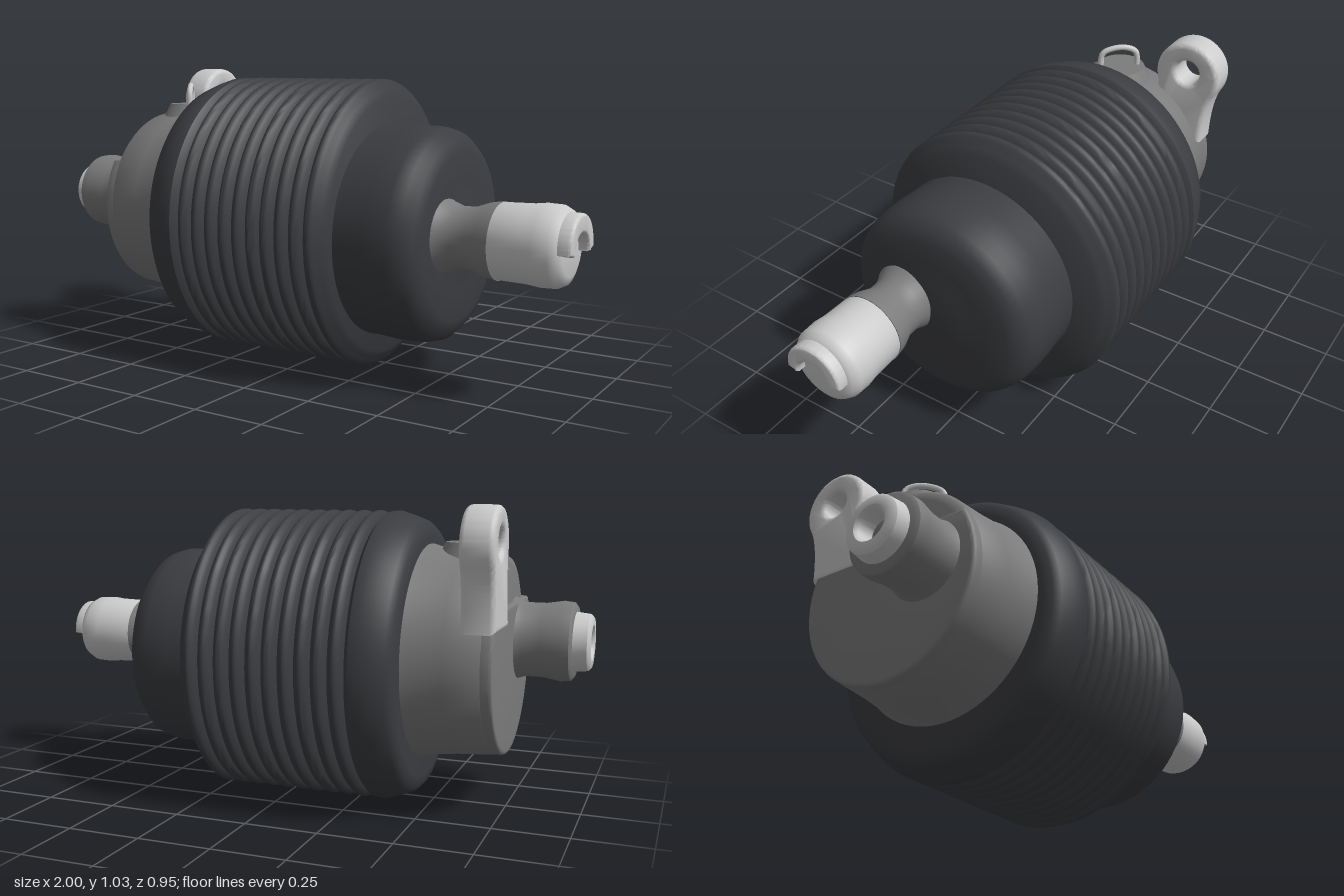
import * as THREE from 'three';
import { toCreasedNormals } from 'three/addons/utils/BufferGeometryUtils.js';

const mat = (color) => new THREE.MeshStandardMaterial({ color });
const light = mat(0xcccccc), mid = mat(0x7c7c7c), dark = mat(0x3c3d41);

export function createModel() {
  const model = new THREE.Group();
  const add = (name, geometry, material) => {
    const mesh = new THREE.Mesh(geometry, material);
    mesh.name = name;
    model.add(mesh);
    return mesh;
  };

  // Turned part along x: profile of [x, radius], centre y/z, optional oval scale
  const turned = (name, profile, y, z, material, sy = 1, sz = 1, segments = 64) => {
    const pts = profile.map(([x, r]) => new THREE.Vector2(r, x));
    const g = new THREE.LatheGeometry(pts, segments);
    g.rotateZ(-Math.PI / 2).scale(1, sy, sz).translate(0, y, z);
    return add(name, toCreasedNormals(g, 0.75), material);
  };

  // Plate lying across x: shape drawn as (z, y), from x0 towards -x
  const across = (name, shape, x0, depth, bevel, material) => {
    const g = new THREE.ExtrudeGeometry(shape, {
      depth: depth - 2 * bevel, bevelEnabled: bevel > 0, bevelSize: bevel,
      bevelThickness: bevel, bevelOffset: -bevel, bevelSegments: 3, curveSegments: 28,
    });
    g.rotateY(-Math.PI / 2).translate(x0 - bevel, 0, 0);
    return add(name, toCreasedNormals(g, 0.6), material);
  };

  // Main barrel: rounded collar followed by a run of ribs
  const barrel = [[-0.47, 0], [-0.47, 0.40], [-0.465, 0.435], [-0.445, 0.455],
    [-0.40, 0.472], [-0.36, 0.484], [-0.335, 0.482], [-0.32, 0.465]];
  const ribs = 10, start = -0.315, pitch = 0.0565;
  for (let i = 0; i < ribs; i++) {
    for (let k = 0; k < 8; k++) {
      const t = k / 8;
      barrel.push([start + (i + t) * pitch, 0.45 + 0.035 * Math.sin(Math.PI * t) ** 0.8]);
    }
  }
  barrel.push([0.255, 0.45], [0.27, 0.43], [0.27, 0]);
  turned('ribbedBarrel', barrel, 0.507, -0.002, dark, 1.03, 0.975, 80);

  // Offset end housing with a rounded shoulder
  turned('endHousing', [[0.2, 0], [0.2, 0.36], [0.3, 0.358], [0.38, 0.364], [0.46, 0.362],
    [0.505, 0.35], [0.535, 0.32], [0.55, 0.28], [0.552, 0.2], [0.56, 0.13], [0.57, 0]],
  0.492, 0.033, dark);

  // Output shaft: flared neck, collar and crescent lip on the tip
  turned('outputNeck', [[0.52, 0], [0.52, 0.15], [0.56, 0.115], [0.6, 0.1],
    [0.65, 0.1], [0.70, 0.118], [0.74, 0.125], [0.74, 0]], 0.512, 0.145, mid, 1, 1, 40);
  turned('outputShaft', [[0.70, 0], [0.70, 0.108], [0.73, 0.122], [0.84, 0.125], [0.88, 0.13],
    [0.93, 0.128], [0.955, 0.115], [0.965, 0.09], [0.965, 0]], 0.512, 0.145, light, 1, 1, 40);
  const lip = new THREE.Shape();
  lip.absarc(0.15, 0.515, 0.105, -0.1, Math.PI + 0.1, false);
  lip.absarc(0.15, 0.495, 0.065, Math.PI, 0, true);
  across('outputTipLip', lip, 1.0, 0.07, 0.01, light);

  // Rear housing, slightly tapered towards its face
  turned('rearHousing', [[-0.735, 0], [-0.735, 0.3], [-0.73, 0.325], [-0.715, 0.337],
    [-0.6, 0.345], [-0.5, 0.357], [-0.44, 0.375], [-0.44, 0]], 0.53, 0.005, mid);

  // Raised lower pad on the rear face
  const pad = new THREE.Shape();
  pad.absarc(0.005, 0.53, 0.335, Math.PI * 0.83, Math.PI * 2.17, false);
  pad.closePath();
  across('rearFacePad', pad, -0.69, 0.065, 0.012, mid);

  // Input shaft with a stepped, hollow tip
  turned('inputShaft', [[-0.93, 0], [-0.945, 0.12], [-0.935, 0.134], [-0.9, 0.138],
    [-0.84, 0.128], [-0.78, 0.128], [-0.745, 0.14], [-0.72, 0.155], [-0.72, 0]],
  0.565, 0.15, mid, 1, 1, 40);
  turned('inputTip', [[-0.93, 0], [-0.93, 0.045], [-0.99, 0.05], [-1.0, 0.06], [-1.0, 0.085],
    [-0.99, 0.097], [-0.92, 0.105]], 0.565, 0.15, light, 1, 1, 32);

  // Mounting ear: eyelet whose stem flares down into the rear housing
  const ear = new THREE.Shape();
  const cz = -0.25, cy = 0.91, r = 0.125;
  ear.absarc(cz, cy, r, -0.3, Math.PI + 0.55, false);
  ear.quadraticCurveTo(-0.325, 0.78, -0.325, 0.64);
  ear.lineTo(-0.1, 0.64);
  ear.quadraticCurveTo(-0.14, 0.8, cz + r * Math.cos(0.3), cy - r * Math.sin(0.3));
  const eye = new THREE.Path();
  eye.absarc(cz, cy + 0.01, 0.047, 0, Math.PI * 2, true);
  ear.holes.push(eye);
  across('mountingEar', ear, -0.65, 0.11, 0.018, light);

  // Low boss on top of the rear housing, with a bent wire clip standing on it
  const boss = new THREE.CylinderGeometry(0.085, 0.13, 0.09, 32);
  boss.translate(-0.61, 0.86, 0);
  add('topBoss', toCreasedNormals(boss, 0.6), mid);
  const wire = new THREE.CatmullRomCurve3([
    [-0.65, 0.89, -0.045], [-0.645, 0.955, -0.038], [-0.625, 0.972, -0.01],
    [-0.595, 0.97, 0.03], [-0.572, 0.95, 0.062], [-0.568, 0.89, 0.068],
  ].map((p) => new THREE.Vector3(...p)));
  add('wireClip', new THREE.TubeGeometry(wire, 32, 0.011, 8), light);

  return model;
}
